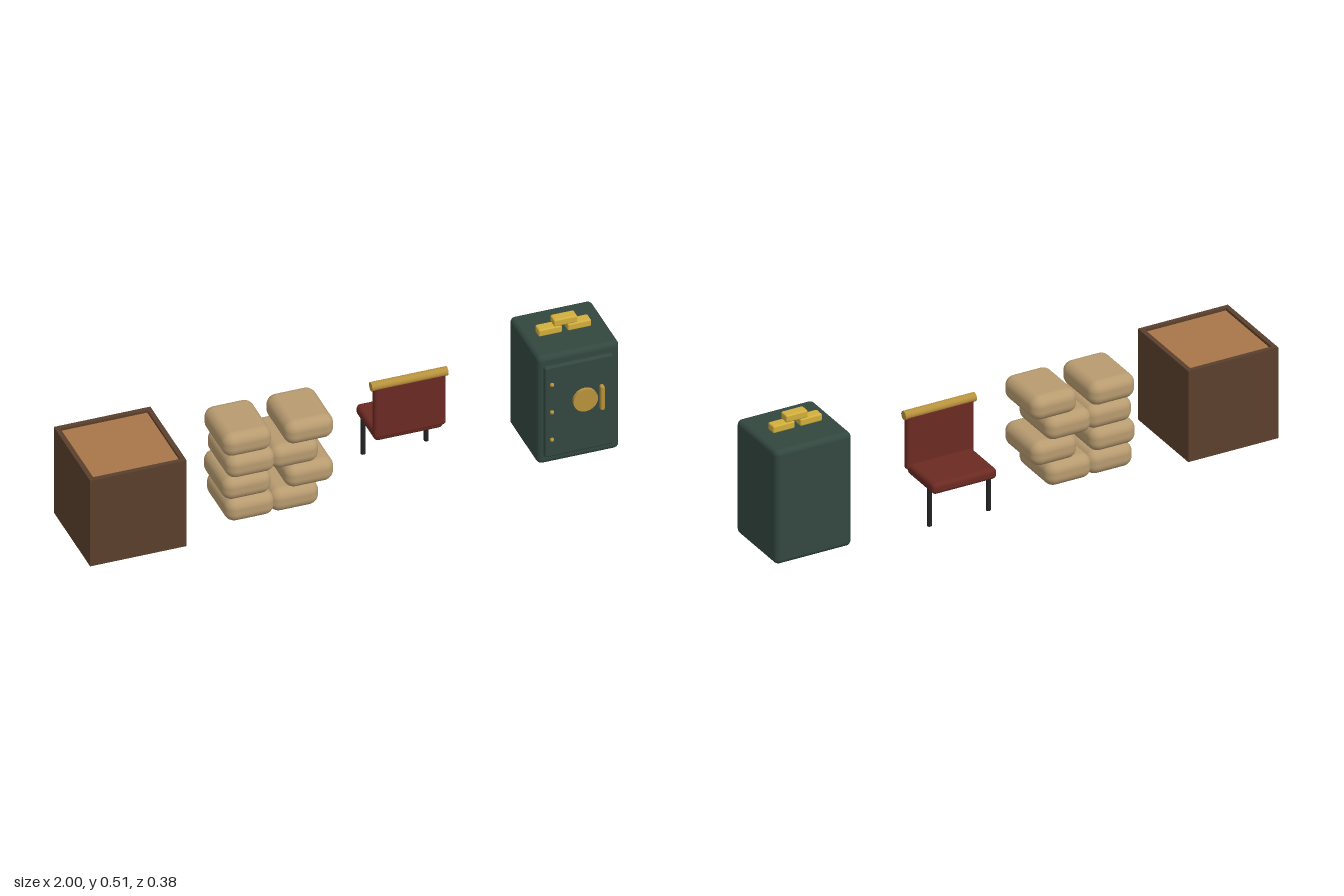
import * as THREE from 'three';
import { RoundedBoxGeometry } from 'three/addons/geometries/RoundedBoxGeometry.js';

function material(name, color) {
  const m = new THREE.MeshStandardMaterial({ color });
  m.name = name;
  return m;
}

export function createModel() {
  const darkWood = material('darkWood', 0x5a3f2c);
  const lightWood = material('lightWood', 0xa87649);
  const burlap = material('burlap', 0xb89b70);
  const leather = material('leather', 0x6b2a22);
  const iron = material('iron', 0x222324);
  const brass = material('brass', 0xb8923c);
  const gold = material('gold', 0xd2ae3c);
  const green = material('greenSteel', 0x32473f);

  const model = new THREE.Group();
  model.name = 'cargoSet';

  function group(name) {
    const g = new THREE.Group();
    g.name = name;
    model.add(g);
    return g;
  }

  function add(parent, name, geometry, mat, x, y, z) {
    const mesh = new THREE.Mesh(geometry, mat);
    mesh.name = name;
    mesh.position.set(x, y, z);
    parent.add(mesh);
    return mesh;
  }

  // Box given by its limits on each axis, rounded when r > 0
  function block(parent, name, mat, [x0, x1], [y0, y1], [z0, z1], r = 0) {
    const size = [x1 - x0, y1 - y0, z1 - z0];
    const geometry = r > 0 ? new RoundedBoxGeometry(...size, 4, r) : new THREE.BoxGeometry(...size);
    return add(parent, name, geometry, mat, (x0 + x1) / 2, (y0 + y1) / 2, (z0 + z1) / 2);
  }

  // Crate: a square frame with recessed lid and base panels
  const crate = group('crate');
  const half = 0.181, wall = 0.018;
  const frame = new THREE.Shape();
  frame.moveTo(-half, -half).lineTo(half, -half).lineTo(half, half).lineTo(-half, half).closePath();
  const inner = half - wall;
  const hole = new THREE.Path();
  hole.moveTo(-inner, -inner).lineTo(-inner, inner).lineTo(inner, inner).lineTo(inner, -inner).closePath();
  frame.holes.push(hole);
  const walls = new THREE.ExtrudeGeometry(frame, { depth: 0.362, bevelEnabled: false });
  walls.rotateX(-Math.PI / 2);
  add(crate, 'crateWalls', walls, darkWood, -0.819, 0, 0.004);
  add(crate, 'crateLid', new THREE.BoxGeometry(inner * 2, 0.02, inner * 2), lightWood, -0.819, 0.342, 0.004);
  add(crate, 'crateBase', new THREE.BoxGeometry(inner * 2, 0.02, inner * 2), darkWood, -0.819, 0.02, 0.004);

  // Sacks: two staggered columns of four
  const sacks = group('sackStack');
  const sackGeometry = new RoundedBoxGeometry(0.184, 0.094, 0.236, 6, 0.038);
  const leftX = [-0.368, -0.378, -0.365, -0.376];
  const rightX = [-0.2, -0.145, -0.2, -0.145];
  for (let row = 0; row < 4; row++) {
    const y = 0.047 + row * 0.091;
    const shift = row % 2 ? -0.002 : 0.002;
    add(sacks, 'sack', sackGeometry, burlap, leftX[row], y, shift);
    add(sacks, 'sack', sackGeometry, burlap, rightX[row], y, -shift);
  }

  // Bench seat facing backwards, with a brass top rail
  const bench = group('benchSeat');
  block(bench, 'seat', leather, [0.135, 0.393], [0.142, 0.185], [-0.188, 0.008], 0.016);
  block(bench, 'backrest', leather, [0.13, 0.4], [0.16, 0.378], [-0.014, 0.017], 0.012);
  const rail = add(bench, 'topRail', new THREE.CylinderGeometry(0.017, 0.017, 0.286, 16), brass, 0.264, 0.378, 0.002);
  rail.rotation.z = Math.PI / 2;
  for (const x of [0.146, 0.383]) {
    add(bench, 'leg', new THREE.CylinderGeometry(0.009, 0.009, 0.15, 12), iron, x, 0.075, -0.141);
  }

  // Safe: body, door, hinges, dial and handle
  const safe = group('safe');
  block(safe, 'safeBody', green, [0.692, 1], [0, 0.453], [-0.14, 0.149], 0.02);
  block(safe, 'safeDoor', green, [0.714, 0.97], [0.035, 0.415], [0.135, 0.163], 0.008);
  for (const y of [0.11, 0.226, 0.342]) {
    add(safe, 'doorStud', new THREE.SphereGeometry(0.008, 12, 8), brass, 0.739, y, 0.166);
  }
  const dial = add(safe, 'dial', new THREE.CylinderGeometry(0.046, 0.046, 0.018, 20), brass, 0.862, 0.254, 0.168);
  dial.rotation.x = Math.PI / 2;
  block(safe, 'handle', brass, [0.914, 0.93], [0.204, 0.305], [0.167, 0.189], 0.006);

  // Gold bars stacked on the safe
  const bars = group('goldBars');
  for (const [x, y] of [[0.787, 0.468], [0.896, 0.468], [0.844, 0.497]]) {
    add(bars, 'goldBar', new RoundedBoxGeometry(0.088, 0.029, 0.041, 3, 0.006), gold, x, y, 0.005);
  }

  return model;
}
